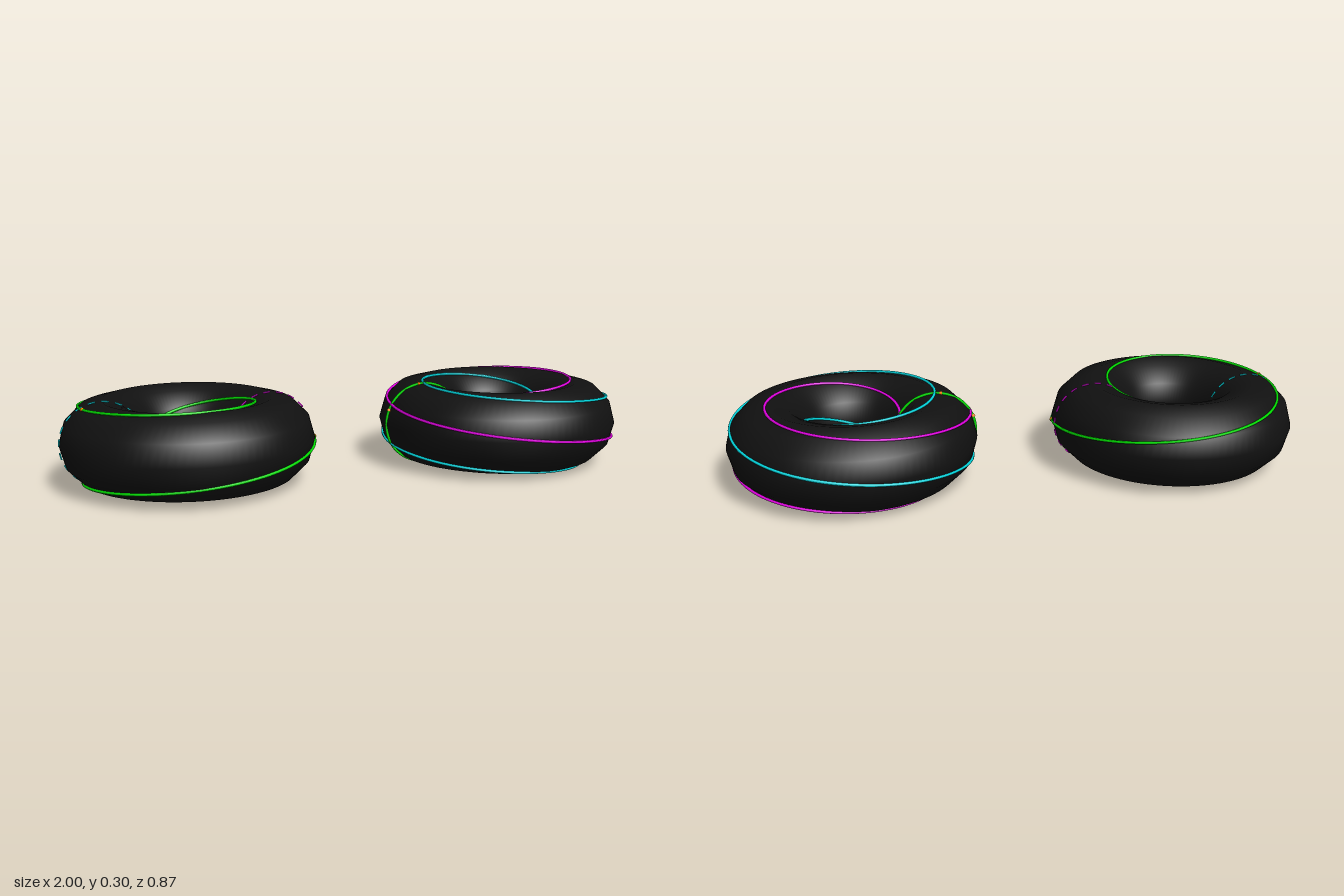
import * as THREE from 'three';

const R = 0.286, r = 0.143;            // ring radius, tube radius
const CX = 0.571, CY = 0.152;          // ring centres
const rad = THREE.MathUtils.degToRad;
const mat = (color) => new THREE.MeshStandardMaterial({ color });

// Point on a ring: phi runs from +x towards -z, v runs around the tube from outside over the top
function onRing(phi, v, target = new THREE.Vector3()) {
  const d = R + r * Math.cos(v);
  return target.set(d * Math.cos(phi), r * Math.sin(v), -d * Math.sin(phi));
}

// Line on the ring, linear in both angles (degrees)
class RingCurve extends THREE.Curve {
  constructor(phi0, v0, dPhi, dV) {
    super();
    Object.assign(this, { phi0, v0, dPhi, dV, arcLengthDivisions: 400 });
  }
  getPoint(t, target) {
    return onRing(rad(this.phi0 + this.dPhi * t), rad(this.v0 + this.dV * t), target);
  }
}

export function createModel() {
  const model = new THREE.Group();
  const black = mat(0x111111), green = mat(0x00e000), cyan = mat(0x00d8e0);
  const magenta = mat(0xe800e8), orange = mat(0xff8800);

  const add = (parent, name, geometry, material) => {
    const mesh = new THREE.Mesh(geometry, material);
    mesh.name = name;
    parent.add(mesh);
    return mesh;
  };

  const makeRing = (name, x) => {
    const g = new THREE.Group();
    g.name = name;
    g.position.set(x, CY, 0);
    add(g, 'ringBody', new THREE.TorusGeometry(R, r, 12, 96).rotateX(Math.PI / 2), black);
    model.add(g);
    return g;
  };

  // Closed line winding three times round the ring and once round the tube
  const windingLine = (g, name, v0, dir, material) =>
    add(g, name, new THREE.TubeGeometry(new RingCurve(0, v0, 1080, 360 * dir), 288, 0.005, 6, true), material);

  // Dashed circle round the tube
  const dashedCircle = (g, name, phi, material) => {
    const circle = new THREE.Group();
    circle.name = name;
    const n = 20;
    for (let i = 0; i < n; i++) {
      const dash = new RingCurve(phi, (i * 360) / n, 0, 200 / n);
      add(circle, 'dash', new THREE.TubeGeometry(dash, 3, 0.003, 6), material);
    }
    g.add(circle);
  };

  // Small arrowhead pointing along a step in the two angles
  const arrow = (g, phi, v, dPhi, dV) => {
    const p = onRing(rad(phi), rad(v));
    const dir = onRing(rad(phi + dPhi), rad(v + dV)).sub(p).normalize();
    const cone = add(g, 'arrowhead', new THREE.ConeGeometry(0.008, 0.02, 8), orange);
    cone.position.copy(p);
    cone.quaternion.setFromUnitVectors(new THREE.Vector3(0, 1, 0), dir);
  };

  // Ring with one winding line and two dashed circles
  const ringA = makeRing('rightRing', -CX);
  windingLine(ringA, 'greenWinding', 0, 1, green);
  dashedCircle(ringA, 'cyanDashedCircle', 180, cyan);
  dashedCircle(ringA, 'magentaDashedCircle', 0, magenta);
  arrow(ringA, 188, 62.7, 3, 1);
  arrow(ringA, -8, -2.7, 3, 1);

  // Ring with two winding lines and one solid circle
  const ringB = makeRing('leftRing', CX);
  windingLine(ringB, 'cyanWinding', 30, -1, cyan);
  windingLine(ringB, 'magentaWinding', 90, -1, magenta);
  add(ringB, 'greenCircle',
    new THREE.TubeGeometry(new RingCurve(180, 0, 0, 360), 64, 0.005, 6, true), green);
  arrow(ringB, 180, 84, 0, 3);
  arrow(ringB, 180, 24, 0, 3);

  return model;
}
